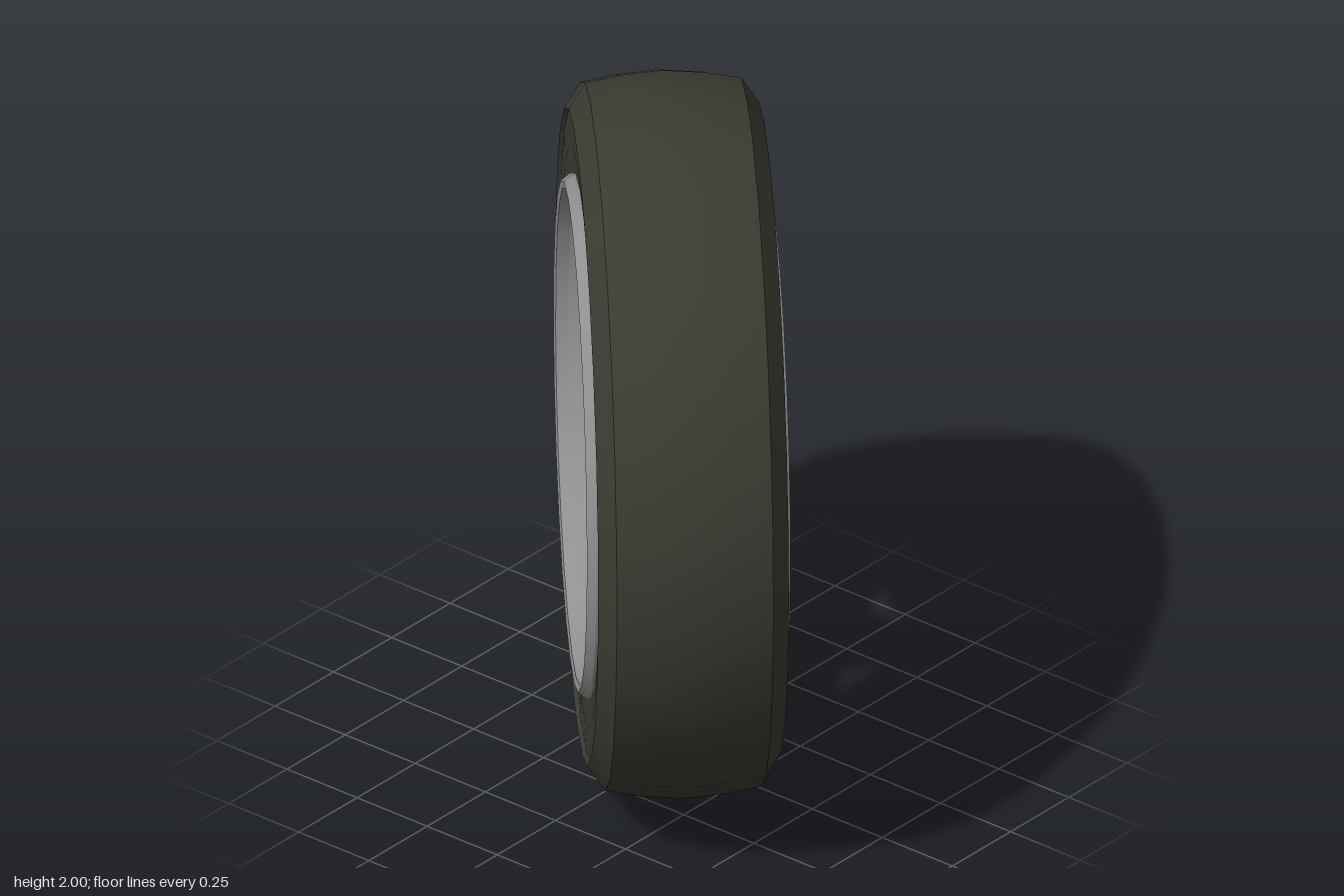
import * as THREE from 'three';
import { mergeGeometries } from 'three/addons/utils/BufferGeometryUtils.js';

const SIDES = 25;
const tyreMat = new THREE.MeshStandardMaterial({ color: 0x3b3a32 });
tyreMat.name = 'dark rubber';
const metalMat = new THREE.MeshStandardMaterial({ color: 0x909090, side: THREE.DoubleSide });
metalMat.name = 'grey metal';

// Ring about the z axis; each run of [radius, z] points is smooth, edges between runs stay sharp
function ring(name, runs, material, sides = SIDES) {
  const parts = runs.map(run =>
    new THREE.LatheGeometry(run.map(([r, z]) => new THREE.Vector2(r, z)), sides));
  const geometry = mergeGeometries(parts);
  geometry.rotateX(Math.PI / 2);
  const mesh = new THREE.Mesh(geometry, material);
  mesh.name = name;
  return mesh;
}

// Flat-faced sheet between neighbouring cross-sections, each a list of [x, y, z] points
function sheet(sections) {
  const pos = [];
  for (let i = 0; i < sections.length - 1; i++) {
    const s = sections[i], t = sections[i + 1];
    for (let k = 0; k < s.length - 1; k++) {
      pos.push(...s[k], ...t[k], ...t[k + 1], ...s[k], ...t[k + 1], ...s[k + 1]);
    }
  }
  const geometry = new THREE.BufferGeometry();
  geometry.setAttribute('position', new THREE.Float32BufferAttribute(pos, 3));
  geometry.computeVertexNormals();
  return geometry;
}

export function createModel() {
  const model = new THREE.Group();
  model.name = 'wheel';
  const wheel = new THREE.Group();
  wheel.name = 'turnedWheel';
  wheel.position.y = 1.004;
  wheel.rotation.y = THREE.MathUtils.degToRad(43.5);
  model.add(wheel);

  // Tyre: crowned tread, sharp shoulders with a small ridge, flat sidewalls
  wheel.add(ring('tyre', [
    [[0.906, -0.262], [0.976, -0.215]],
    [[0.976, -0.215], [0.994, -0.12], [1.004, 0], [0.994, 0.12], [0.976, 0.215]],
    [[0.976, 0.215], [0.906, 0.262]],
    [[0.906, 0.262], [0.896, 0.25]],
    [[0.896, 0.25], [0.8, 0.254], [0.7, 0.245]],
    [[0.7, 0.245], [0.7, -0.245]],
    [[0.7, -0.245], [0.8, -0.254], [0.896, -0.25]],
    [[0.896, -0.25], [0.906, -0.262]],
  ], tyreMat));

  // Rim: sloped front lip, dished front, then the deep barrel and the back lip
  wheel.add(ring('rim', [
    [[0.728, 0.235], [0.725, 0.255]],
    [[0.725, 0.255], [0.705, 0.28]],
    [[0.705, 0.28], [0.685, 0.275]],
    [[0.685, 0.275], [0.672, 0.24]],
    [[0.672, 0.24], [0.65, 0.23]],
    [[0.65, 0.23], [0.52, 0.08]],
    [[0.52, 0.08], [0.52, 0.06]],
    [[0.52, 0.06], [0.61, 0.11]],
    [[0.61, 0.11], [0.62, -0.08], [0.64, -0.2]],
    [[0.64, -0.2], [0.672, -0.24]],
    [[0.672, -0.24], [0.685, -0.275]],
    [[0.685, -0.275], [0.705, -0.28]],
    [[0.705, -0.28], [0.725, -0.255]],
    [[0.725, -0.255], [0.728, -0.235]],
  ], metalMat));

  // Six pressed spokes: a kinked front face with a folded flank on each side, open behind
  const spokeGeometry = sheet([
    [[0.08, -0.055, 0.11], [0.08, -0.035, 0.165], [0.08, 0.035, 0.165], [0.08, 0.055, 0.11]],
    [[0.3, -0.13, 0.11], [0.3, -0.09, 0.2], [0.3, 0.055, 0.2], [0.3, 0.14, 0.11]],
    [[0.53, -0.13, 0.09], [0.54, -0.09, 0.13], [0.54, 0.1, 0.13], [0.52, 0.205, 0.1]],
  ]);
  for (let i = 0; i < 6; i++) {
    const spoke = new THREE.Mesh(spokeGeometry, metalMat);
    spoke.name = 'spoke' + (i + 1);
    spoke.rotation.z = i * Math.PI / 3;
    wheel.add(spoke);
  }

  // Hub with a shallow cup on each face
  wheel.add(ring('hub', [
    [[0, 0.175], [0.05, 0.175]],
    [[0.05, 0.175], [0.075, 0.125]],
    [[0.075, 0.125], [0.11, 0.135]],
    [[0.11, 0.135], [0.113, 0.175]],
    [[0.113, 0.175], [0.08, 0.215]],
    [[0.08, 0.215], [0.055, 0.185]],
    [[0.055, 0.185], [0, 0.185]],
  ], metalMat, 16));

  // Rounded nut showing through both cups
  const nut = new THREE.Mesh(new THREE.SphereGeometry(0.036, 14, 10), metalMat);
  nut.name = 'centreNut';
  nut.position.z = 0.185;
  wheel.add(nut);
  return model;
}
